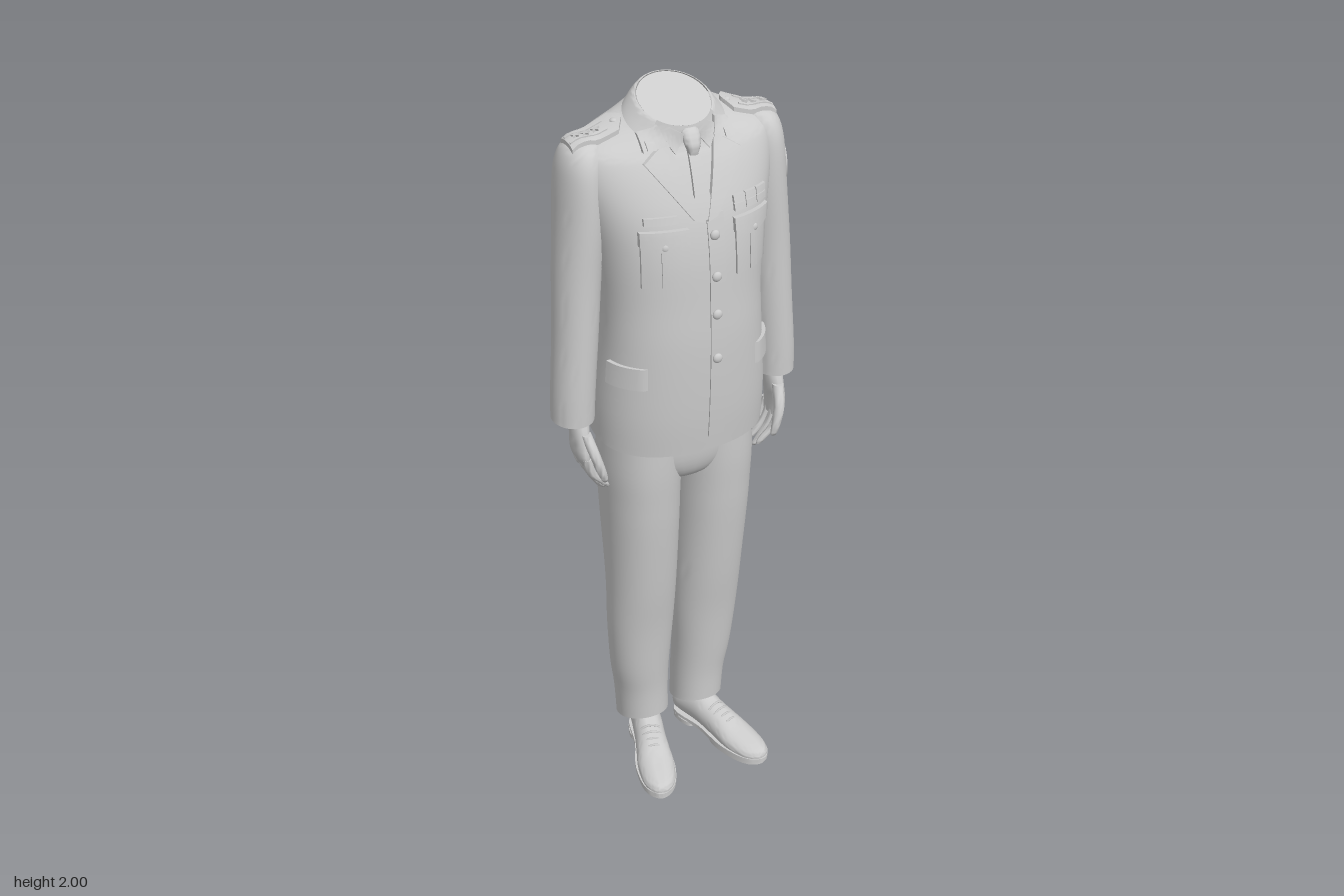
import * as THREE from 'three';
import { toCreasedNormals } from 'three/addons/utils/BufferGeometryUtils.js';

const cloth = new THREE.MeshStandardMaterial({ color: 0xcccccc });
const thin = new THREE.MeshStandardMaterial({ color: 0xcccccc, side: THREE.DoubleSide });

function add(parent, name, geometry, material = cloth) {
  const mesh = new THREE.Mesh(geometry, material);
  mesh.name = name;
  parent.add(mesh);
  return mesh;
}

// Smooth loft through rings [y, cx, cz, rx, rz, squareness, tilt]
function loft(rings, { m = 40, steps = 4, from = 0, arc = Math.PI * 2, caps = true } = {}) {
  const secs = rings[0][0] > rings.at(-1)[0] ? [...rings].reverse() : rings;
  const dims = [0, 1, 2, 3, 4, 5, 6].map(d =>
    new THREE.SplineCurve(secs.map((r, i) => new THREE.Vector2(i, r[d] ?? (d === 5 ? 2 : 0)))));
  const n = (secs.length - 1) * steps, pos = [], idx = [];
  const closed = arc > 6.28, cols = closed ? m : m + 1;
  const pw = (v, e) => Math.sign(v) * Math.abs(v) ** e;
  const ring = (t, k) => {
    const [y, cx, cz, rx, rz, sq, tilt] = dims.map(c => c.getPoint(t).y);
    for (let j = 0; j < cols; j++) {
      const a = from + arc * j / m;
      const dz = k * rz * pw(Math.sin(a), 2 / sq);
      pos.push(cx + k * rx * pw(Math.cos(a), 2 / sq), y - tilt * dz, cz + dz);
    }
  };
  if (caps) ring(0, 0.001);
  for (let i = 0; i <= n; i++) ring(i / n, 1);
  if (caps) ring(1, 0.001);
  const rows = pos.length / 3 / cols;
  for (let i = 0; i < rows - 1; i++) for (let j = 0; j < m; j++) {
    const a = i * cols + j, b = i * cols + (j + 1) % cols, c = a + cols, d = b + cols;
    idx.push(a, c, b, b, c, d);
  }
  const g = new THREE.BufferGeometry();
  g.setAttribute('position', new THREE.Float32BufferAttribute(pos, 3));
  g.setIndex(idx);
  return toCreasedNormals(g, 1);
}

// Point on a target surface, seen along an axis: z takes (x,y), y takes (x,z), x takes (z,y)
const place = { z: (p, q, h) => [p, q, h], y: (p, q, h) => [p, h, q], x: (p, q, h) => [h, q, p] };
function surface(targets, axis, p, q, sign = 1) {
  const origin = new THREE.Vector3(...place[axis](p, q, 3 * sign));
  const dir = new THREE.Vector3(...place[axis](0, 0, -sign));
  const hit = new THREE.Raycaster(origin, dir).intersectObjects(targets)[0];
  return hit ? hit.point[axis] : 0;
}

// Cloth panel draped on a surface; corners run round the quad
function panel(targets, corners, { axis = 'z', t = 0.006, sign = 1, round = false, n = 8 } = {}) {
  let area = 0;
  corners.forEach(([x, y], i) => {
    const [X, Y] = corners[(i + 1) % 4];
    area += x * Y - X * y;
  });
  const facing = (axis === 'z' ? 1 : -1) * sign * area > 0;
  const [a, b, c, d] = facing ? corners : [corners[1], corners[0], corners[3], corners[2]];
  const g = new THREE.BoxGeometry(2, 2, 2, n, n, 1), P = g.attributes.position;
  for (let i = 0; i < P.count; i++) {
    let x = P.getX(i), y = P.getY(i);
    if (round) [x, y] = [x * Math.sqrt(1 - y * y / 2), y * Math.sqrt(1 - x * x / 2)];
    const u = (x + 1) / 2, v = (y + 1) / 2;
    const [p, q] = [0, 1].map(k => (1 - v) * ((1 - u) * a[k] + u * b[k]) + v * ((1 - u) * d[k] + u * c[k]));
    const h = surface(targets, axis, p, q, sign) + sign * (P.getZ(i) > 0 ? t : -0.004);
    P.setXYZ(i, ...place[axis](p, q, h));
  }
  return toCreasedNormals(g, 0.9);
}
const rect = (x0, x1, y0, y1) => [[x0, y0], [x1, y0], [x1, y1], [x0, y1]];
const flip = (s, pts) => pts.map(([x, y]) => [s * x, y]);

function starShape(r) {
  return new THREE.Shape(Array.from({ length: 10 }, (_, i) => {
    const a = i * Math.PI / 5, k = i % 2 ? r * 0.42 : r;
    return new THREE.Vector2(k * Math.cos(a), k * Math.sin(a));
  }));
}

// Flat slab from a closed outline in x and z
function slab(outline, y, h) {
  const curve = new THREE.CatmullRomCurve3(outline.map(([x, z]) => new THREE.Vector3(x, z, 0)), true);
  const g = new THREE.ExtrudeGeometry(new THREE.Shape(curve.getPoints(40)), { depth: h, bevelEnabled: false });
  return toCreasedNormals(g.rotateX(Math.PI / 2).translate(0, y + h, 0), 0.6);
}

function makeShoe(s) {
  const shoe = new THREE.Group();
  shoe.name = s > 0 ? 'leftShoe' : 'rightShoe';
  // rings run heel to toe: [z, 0, -height, half width, half height]
  const g = loft([[-0.042, 0, -0.055, 0.024, 0.035], [-0.03, 0, -0.06, 0.04, 0.05], [0.05, 0, -0.065, 0.043, 0.055],
    [0.1, 0, -0.055, 0.044, 0.05], [0.15, 0, -0.045, 0.048, 0.045], [0.2, 0, -0.035, 0.052, 0.036],
    [0.26, 0, -0.028, 0.044, 0.027], [0.293, 0, -0.026, 0.025, 0.018], [0.302, 0, -0.025, 0.008, 0.008]], { m: 32 });
  g.rotateX(Math.PI / 2);
  const P = g.attributes.position;
  for (let i = 0; i < P.count; i++) P.setY(i, Math.max(P.getY(i), 0.02));
  add(shoe, 'upper', g);
  add(shoe, 'welt', slab([[0, -0.047], [0.04, -0.03], [0.042, 0.08], [0.056, 0.19], [0.038, 0.28], [0, 0.307],
    [-0.038, 0.28], [-0.056, 0.19], [-0.042, 0.08], [-0.04, -0.03]], 0.012, 0.012));
  add(shoe, 'heel', slab([[0, -0.046], [0.039, -0.03], [0.042, 0.04], [0, 0.05], [-0.042, 0.04], [-0.039, -0.03]], 0, 0.014));
  add(shoe, 'forefootSole', slab([[0, 0.1], [0.04, 0.12], [0.053, 0.19], [0.036, 0.275], [0, 0.3],
    [-0.036, 0.275], [-0.053, 0.19], [-0.04, 0.12]], 0, 0.014));
  for (let i = 0; i < 4; i++) {
    const z = 0.105 + i * 0.02, y = 0.106 - i * 0.0075;
    const lace = new THREE.QuadraticBezierCurve3(new THREE.Vector3(-0.026, y - 0.013, z),
      new THREE.Vector3(0, y + 0.012, z + 0.004), new THREE.Vector3(0.026, y - 0.013, z));
    add(shoe, 'lace', new THREE.TubeGeometry(lace, 8, 0.0035, 6));
  }
  shoe.position.set(s * 0.076, 0, -0.085);
  shoe.rotation.y = s * 0.29;
  return shoe;
}

function makeHand(s) {
  const hand = new THREE.Group();
  hand.name = s > 0 ? 'leftHand' : 'rightHand';
  const part = (name, rings) => add(hand, name, loft(rings.map(([y, x, ...r]) => [y, s * x, ...r]), { m: 14, steps: 3 }));
  part('palm', [[1.2, 0.28, -0.03, 0.028, 0.033], [1.13, 0.283, -0.012, 0.023, 0.042],
    [1.08, 0.285, -0.008, 0.019, 0.047], [1.045, 0.277, -0.008, 0.012, 0.043]]);
  [0.968, 0.952, 0.96, 0.985].forEach((tip, f) => {
    const z = 0.027 - f * 0.0235;
    part('finger', [[1.07, 0.282, z, 0.012, 0.012], [1.02, 0.266, z - 0.002, 0.012, 0.0115],
      [tip + 0.02, 0.238, z - 0.006, 0.011, 0.01], [tip + 0.005, 0.226, z - 0.007, 0.008, 0.007], [tip, 0.223, z - 0.007, 0.003, 0.003]]);
  });
  part('thumb', [[1.14, 0.278, 0.018, 0.014, 0.018], [1.09, 0.268, 0.048, 0.014, 0.016],
    [1.04, 0.254, 0.058, 0.012, 0.012], [1.015, 0.247, 0.058, 0.008, 0.008], [1.01, 0.246, 0.058, 0.003, 0.003]]);
  return hand;
}

export function createModel() {
  const model = new THREE.Group();
  model.name = 'uniformedFigure';

  // Jacket body up to the neck
  const jacket = add(model, 'jacketBody', loft([[1.095, 0, -0.03, 0.229, 0.17, 2.3, 0.08], [1.2, 0, -0.022, 0.228, 0.172, 2.3],
    [1.38, 0, -0.008, 0.212, 0.163, 2.3], [1.5, 0, -0.015, 0.21, 0.165, 2.3], [1.62, 0, -0.027, 0.222, 0.17, 2.3],
    [1.72, 0, -0.035, 0.24, 0.16, 2.3], [1.8, 0, -0.043, 0.255, 0.138, 2.3], [1.86, 0, -0.05, 0.255, 0.118, 2.3, 0.05],
    [1.89, 0, -0.052, 0.235, 0.107, 2.2, 0.15], [1.915, 0, -0.05, 0.17, 0.1, 2.1, 0.25], [1.935, 0, -0.045, 0.122, 0.095, 2, 0.35],
    [1.95, 0, -0.038, 0.1, 0.088, 2, 0.42], [1.965, 0, -0.035, 0.09, 0.083, 2, 0.45]], { m: 72, caps: false }), thin);
  add(model, 'jacketHemUnderside', loft([[1.095, 0, -0.03, 0.229, 0.17, 2.3, 0.08], [1.11, 0, -0.03, 0.2, 0.14, 2.3, 0.08]],
    { m: 72, steps: 1, caps: false }), thin);
  add(model, 'neckLining', loft([[1.965, 0, -0.035, 0.09, 0.083, 2, 0.45], [1.94, 0, -0.035, 0.082, 0.076, 2, 0.4],
    [1.88, 0, -0.035, 0.08, 0.075, 2, 0.2]], { m: 48 }), thin);
  // Turned-down collar, open at the front
  add(model, 'jacketCollar', loft([[1.925, 0, -0.042, 0.132, 0.104, 2, 0.3], [1.947, 0, -0.04, 0.113, 0.099, 2, 0.38],
    [1.964, 0, -0.036, 0.098, 0.09, 2, 0.43], [1.967, 0, -0.035, 0.092, 0.084, 2, 0.44]],
    { from: Math.PI * 0.78, arc: Math.PI * 1.44, caps: false }), thin);

  // Sleeves, hands, trouser legs and shoes
  const sleeves = {};
  for (const s of [1, -1]) {
    const side = s > 0 ? 'left' : 'right';
    const limb = rings => loft(rings.map(([y, x, ...r]) => [y, s * x, ...r]), { m: 36 });
    sleeves[s] = add(model, side + 'Sleeve', limb([[1.9, 0.228, -0.055, 0.022, 0.03], [1.888, 0.234, -0.055, 0.042, 0.055],
      [1.855, 0.24, -0.055, 0.053, 0.075], [1.8, 0.245, -0.055, 0.057, 0.085], [1.7, 0.25, -0.05, 0.06, 0.083],
      [1.55, 0.264, -0.042, 0.059, 0.072], [1.4, 0.275, -0.036, 0.057, 0.066], [1.25, 0.287, -0.033, 0.056, 0.063],
      [1.17, 0.291, -0.033, 0.055, 0.062, 2, 0.05]]));
    model.add(makeHand(s));
    add(model, side + 'TrouserLeg', limb([[1.13, 0.1, -0.04, 0.1, 0.137, 2.2], [1, 0.105, -0.04, 0.104, 0.135, 2.2],
      [0.9, 0.105, -0.04, 0.102, 0.128, 2.2], [0.8, 0.104, -0.04, 0.1, 0.119, 2.2], [0.6, 0.101, -0.043, 0.096, 0.098, 2.1],
      [0.45, 0.1, -0.054, 0.093, 0.086, 2.1], [0.3, 0.098, -0.066, 0.084, 0.081, 2.1],
      [0.2, 0.091, -0.075, 0.076, 0.08, 2.1, -0.1], [0.097, 0.087, -0.077, 0.073, 0.079, 2.1, -0.3]]));
    model.add(makeShoe(s));
  }
  add(model, 'trouserSeat', loft([[1.13, 0, -0.04, 0.2, 0.137, 2.4], [1.03, 0, -0.04, 0.19, 0.132, 2.4],
    [0.97, 0, -0.04, 0.12, 0.11, 2.2], [0.935, 0, -0.04, 0.05, 0.06, 2]]));

  const button = (targets, axis, p, q, r = 0.011) => {
    const b = add(model, 'button', new THREE.SphereGeometry(r, 14, 10));
    b.position.set(...place[axis](p, q, surface(targets, axis, p, q) + 0.007));
    b.scale[axis] = 0.6;
  };
  const cover = (name, pts, opts) => add(model, name, panel([jacket], pts, opts));

  // Front closing edge, buttons, shirt collar, tie
  cover('frontEdge', rect(0.004, 0.05, 1.078, 1.73), { t: 0.004, n: 14 });
  for (const y of [1.68, 1.575, 1.475, 1.355]) button([jacket], 'z', 0.02, y, 0.013);
  cover('tie', [[-0.024, 1.72], [0.024, 1.72], [0.013, 1.875], [-0.013, 1.875]], { t: 0.008 });
  const knot = add(model, 'tieKnot', loft([[1.862, 0, 0.066, 0.012, 0.01], [1.885, 0, 0.062, 0.02, 0.016],
    [1.91, 0, 0.05, 0.024, 0.016], [1.922, 0, 0.044, 0.016, 0.01]], { m: 16 }));
  knot.castShadow = false;

  for (const s of [1, -1]) {
    cover('shirtCollarPoint', flip(s, [[0.014, 1.908], [0.046, 1.868], [0.074, 1.915], [0.05, 1.928]]), { t: 0.009 });
    cover('lapel', flip(s, [[0.004, 1.715], [0.032, 1.725], [0.128, 1.858], [0.062, 1.9]]), { t: 0.011 });
    cover('collarLeaf', flip(s, [[0.062, 1.89], [0.122, 1.88], [0.12, 1.915], [0.074, 1.932]]), { t: 0.012 });
    cover('lapelBadge', flip(s, rect(0.092, 0.112, 1.885, 1.902)), { t: 0.017, n: 3 });

    // Chest pocket with flap, lower pocket flap on the hip
    const x0 = s > 0 ? 0.08 : -0.16, x1 = x0 + 0.11, mid = x0 + 0.055;
    cover('chestPocket', rect(x0, x1, 1.565, 1.7), { t: 0.007 });
    cover('pocketPleat', rect(mid - 0.012, mid + 0.012, 1.567, 1.67), { t: 0.01 });
    for (const k of [-1, 1]) {
      cover('chestPocketFlap', [[mid, 1.655], [mid + k * 0.058, 1.672], [mid + k * 0.058, 1.708], [mid, 1.708]], { t: 0.013 });
    }
    button([jacket], 'z', mid, 1.668, 0.012);
    cover('hipPocketFlap', rect(0.03, 0.118, 1.285, 1.345), { axis: 'x', sign: s, t: 0.011 });

    // Shoulder strap with stripes, stars and button
    const both = [jacket, sleeves[s]];
    const strap = (name, pts, t) => add(model, name, panel(both, flip(s, pts), { axis: 'y', t }));
    strap('shoulderStrap', rect(0.152, 0.272, -0.086, -0.018), 0.011);
    strap('shoulderStrapPoint', [[0.132, -0.056], [0.153, -0.086], [0.153, -0.018], [0.132, -0.048]], 0.011);
    for (const z of [-0.068, -0.036]) strap('strapStripe', rect(0.175, 0.27, z - 0.003, z + 0.003), 0.014);
    button(both, 'y', s * 0.15, -0.052, 0.01);
    for (let i = 0; i < 3; i++) {
      const x = s * (0.197 + 0.025 * i);
      const star = add(model, 'strapStar', new THREE.ExtrudeGeometry(starShape(0.012), { depth: 0.006, bevelEnabled: false }).rotateX(-Math.PI / 2));
      star.position.set(x, surface(both, 'y', x, -0.052) + 0.01, -0.052);
      star.rotation.z = -s * 0.37;
    }
  }

  // Ribbon bars, name plate and sleeve patch
  for (let r = 0; r < 2; r++) for (let i = 0; i < 3; i++) {
    const x = 0.082 + i * 0.036, y = 1.722 + r * 0.019;
    cover('ribbonBar', rect(x, x + 0.034, y, y + 0.017), { t: 0.009, n: 3 });
  }
  cover('namePlate', rect(-0.15, -0.07, 1.722, 1.74), { t: 0.008, n: 4 });
  add(model, 'sleevePatch', panel([sleeves[1]], rect(-0.1, -0.015, 1.69, 1.8), { axis: 'x', t: 0.006, round: true }));
  return model;
}
